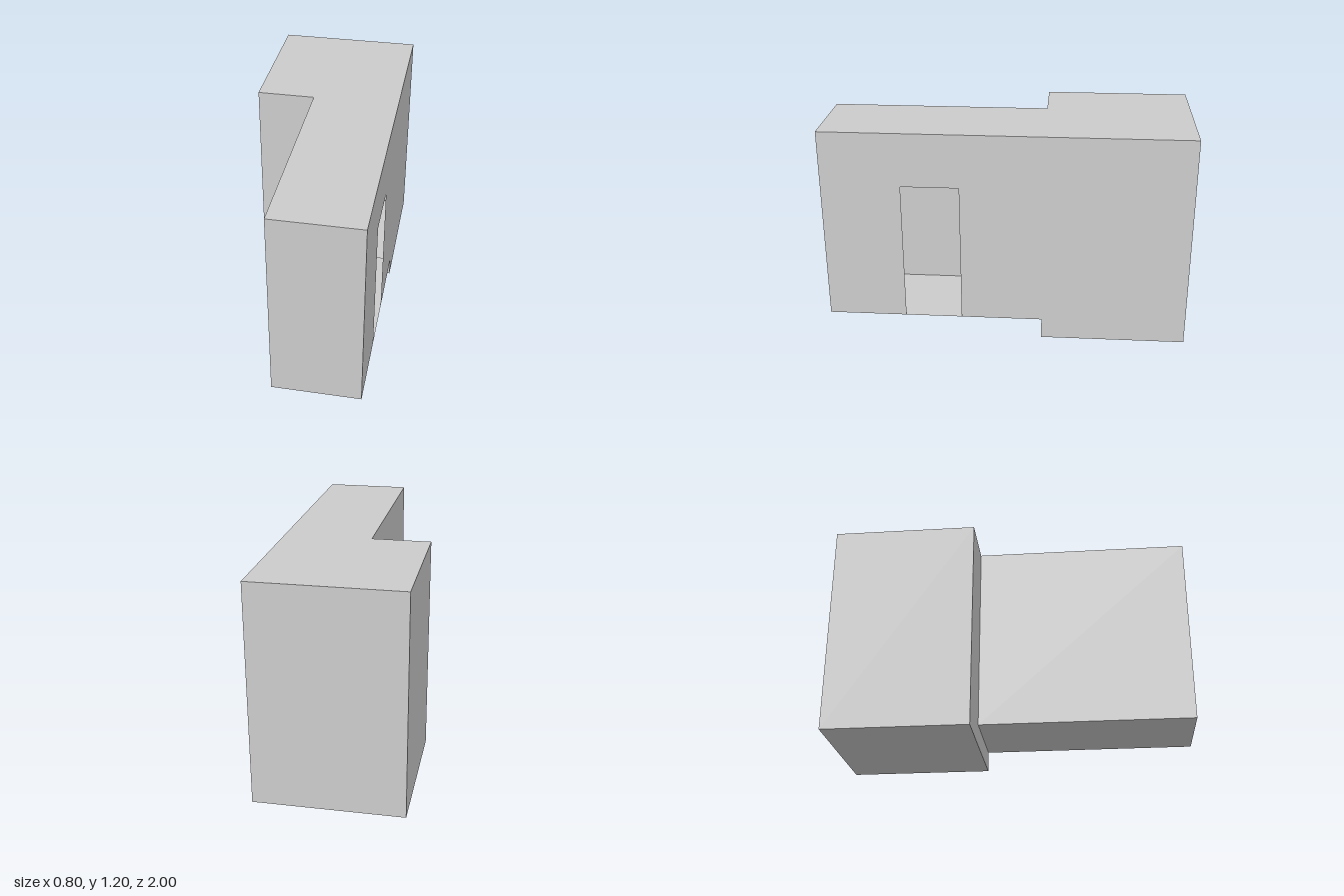
import * as THREE from 'three';

// Overall limits of the L-shaped shell
const RIGHT = 0.4, LEFT = -0.4, INNER = -0.08;
const FRONT = 1, STEP = -0.2, BACK = -1;
const TOP = 1.2, RAISED = 0.115;
const DOOR = { front: 0.565, back: 0.25, top: 0.9 };

const material = new THREE.MeshStandardMaterial({ color: 0xcccccc, side: THREE.DoubleSide });

const rect = (x0, y0, x1, y1) => [[x0, y0], [x1, y0], [x1, y1], [x0, y1]];

export function createModel() {
  const group = new THREE.Group();
  group.name = 'hollowBuilding';

  // Flat thin panel from an outline, turned to face outwards and put in its plane
  function panel(name, outline, [rx, ry], [x, y, z]) {
    const shape = new THREE.Shape(outline.map(([a, b]) => new THREE.Vector2(a, b)));
    const geometry = new THREE.ShapeGeometry(shape).rotateX(rx).rotateY(ry).translate(x, y, z);
    const mesh = new THREE.Mesh(geometry, material);
    mesh.name = name;
    group.add(mesh);
  }

  const H = Math.PI / 2;

  // Long wall with the doorway; outline runs in (-z, y)
  panel('doorWall', [
    [-FRONT, RAISED], [-DOOR.front, RAISED], [-DOOR.front, DOOR.top],
    [-DOOR.back, DOOR.top], [-DOOR.back, RAISED], [-STEP, RAISED],
    [-STEP, 0], [-BACK, 0], [-BACK, TOP], [-FRONT, TOP],
  ], [0, H], [RIGHT, 0, 0]);

  // Opposite walls; outlines run in (z, y)
  panel('frontRoomSideWall', rect(STEP, RAISED, FRONT, TOP), [0, -H], [INNER, 0, 0]);
  panel('rearRoomSideWall', rect(BACK, 0, STEP, TOP), [0, -H], [LEFT, 0, 0]);

  // End walls and the L-shaped wall where the two rooms join
  panel('frontWall', rect(INNER, RAISED, RIGHT, TOP), [0, 0], [0, 0, FRONT]);
  panel('backWall', rect(LEFT, 0, RIGHT, TOP), [0, Math.PI], [0, 0, BACK]);
  panel('stepWall', [
    [LEFT, 0], [RIGHT, 0], [RIGHT, RAISED], [INNER, RAISED], [INNER, TOP], [LEFT, TOP],
  ], [0, 0], [0, 0, STEP]);

  // Roof; outline runs in (x, -z)
  panel('roof', [
    [INNER, -FRONT], [RIGHT, -FRONT], [RIGHT, -BACK],
    [LEFT, -BACK], [LEFT, -STEP], [INNER, -STEP],
  ], [-H, 0], [0, TOP, 0]);

  // Floors on two levels; outlines run in (x, z)
  panel('frontRoomFloor', rect(INNER, STEP, RIGHT, FRONT), [H, 0], [0, RAISED, 0]);
  panel('rearRoomFloor', rect(LEFT, BACK, RIGHT, STEP), [H, 0], [0, 0, 0]);

  return group;
}
